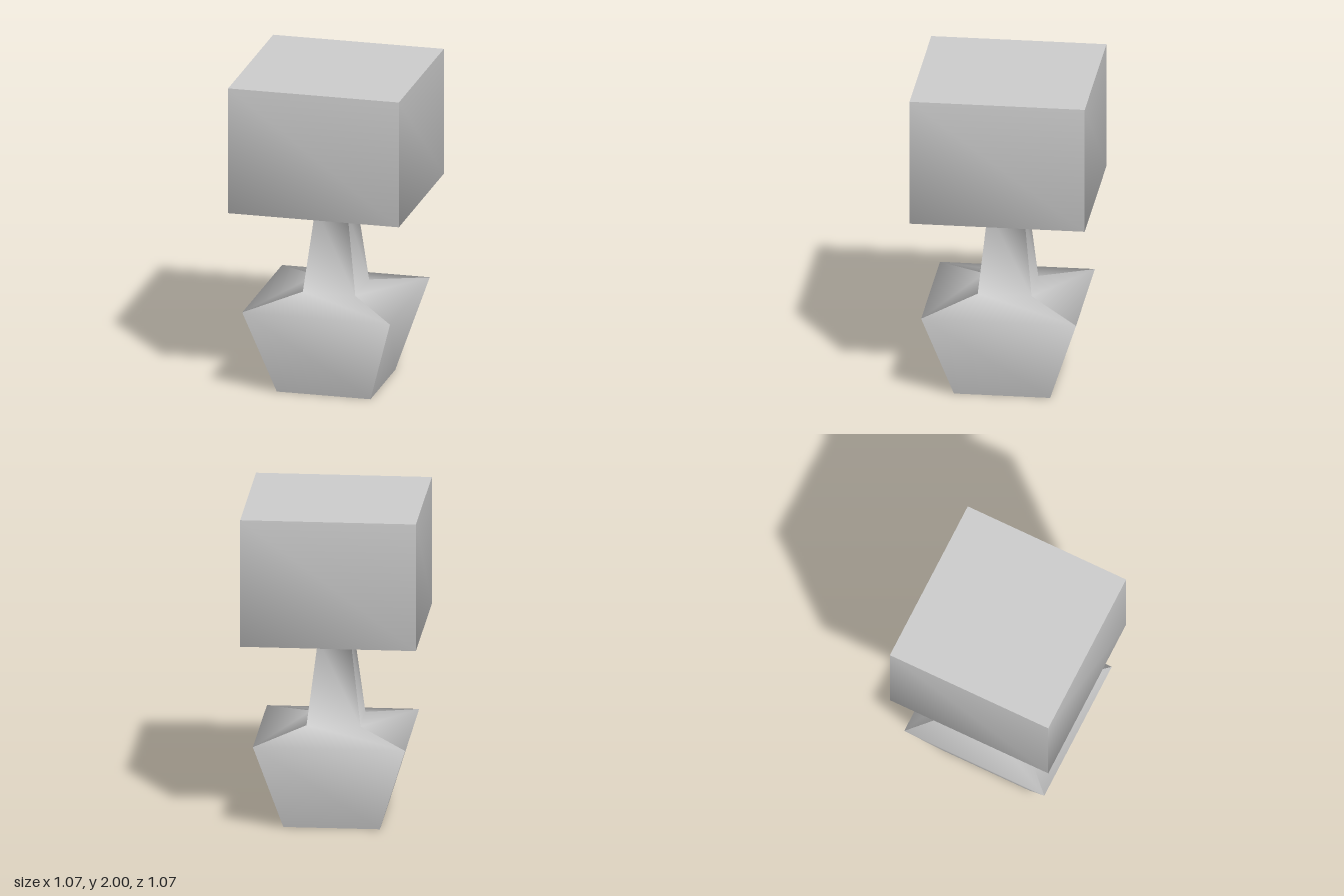
import * as THREE from 'three';

// Square cross-sections from bottom to top: height, half width, half depth
const SECTIONS = [
  [0, 0.295, 0.295],
  [0.55, 0.465, 0.475],
  [0.61, 0.165, 0.165],
  [1.135, 0.1, 0.11],
  [1.2, 0.537, 0.537],
  [2, 0.537, 0.537],
];
// Corners in order around the vertical axis, seen from above
const CORNERS = [[-1, 1], [1, 1], [1, -1], [-1, -1]];

const corner = ([y, hx, hz], i) => {
  const [sx, sz] = CORNERS[i % 4];
  return [sx * hx, y, sz * hz];
};

function makeGeometry(positions, index) {
  const geometry = new THREE.BufferGeometry();
  geometry.setAttribute('position', new THREE.Float32BufferAttribute(positions, 3));
  geometry.setIndex(index);
  geometry.computeVertexNormals();
  return geometry;
}

// Four sides, each smooth along its height, with sharp corners between them
function makeSides() {
  const positions = [], index = [];
  for (let side = 0; side < 4; side++) {
    const start = positions.length / 3;
    SECTIONS.forEach((s, row) => {
      positions.push(...corner(s, side), ...corner(s, side + 1));
      if (row === 0) return;
      const a = start + row * 2 - 2, b = a + 1, c = a + 2, d = a + 3;
      index.push(a, b, c, b, d, c);
    });
  }
  return makeGeometry(positions, index);
}

// Flat square closing one end
function makeCap(section, up) {
  const positions = CORNERS.flatMap((_, i) => corner(section, i));
  return makeGeometry(positions, up ? [0, 1, 2, 0, 2, 3] : [0, 2, 1, 0, 3, 2]);
}

export function createModel() {
  const group = new THREE.Group();
  group.name = 'pedestal';
  const material = new THREE.MeshStandardMaterial({ color: 0xcccccc });
  const add = (name, geometry) => {
    const mesh = new THREE.Mesh(geometry, material);
    mesh.name = name;
    group.add(mesh);
  };
  add('sides', makeSides());
  add('bottomFace', makeCap(SECTIONS[0], false));
  add('topFace', makeCap(SECTIONS[SECTIONS.length - 1], true));
  return group;
}
